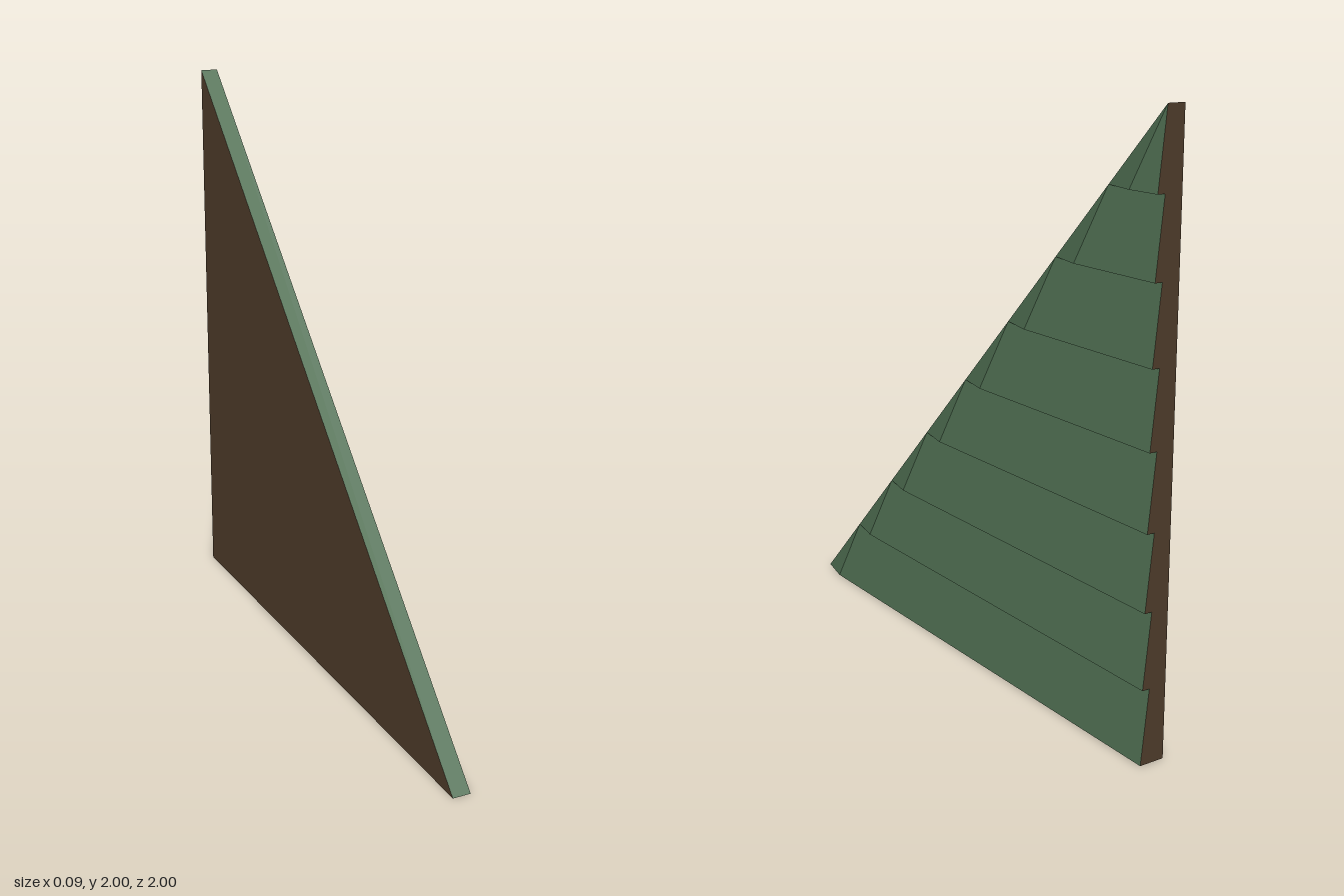
import * as THREE from 'three';

const green = new THREE.MeshStandardMaterial({ color: 0x4f6f52 });
green.name = 'green siding';
const brown = new THREE.MeshStandardMaterial({ color: 0x4d3a29 });
brown.name = 'brown wood';

// Flat mesh from convex polygons; an optional normal overrides the shading
function faces(name, material, polygons, normal) {
  const pos = [];
  for (const p of polygons) {
    for (let i = 1; i < p.length - 1; i++) pos.push(...p[0], ...p[i], ...p[i + 1]);
  }
  const g = new THREE.BufferGeometry();
  g.setAttribute('position', new THREE.Float32BufferAttribute(pos, 3));
  g.computeVertexNormals();
  if (normal) {
    const n = g.attributes.normal;
    for (let i = 0; i < n.count; i++) n.setXYZ(i, normal.x, normal.y, normal.z);
  }
  const mesh = new THREE.Mesh(g, material);
  mesh.name = name;
  return mesh;
}

export function createModel() {
  const group = new THREE.Group();
  group.name = 'triangularSidingWall';

  const B = -0.045;  // inner face
  const T = 0.018;   // thin upper edge of a board
  const E = 0.045;   // thick lower edge of a board
  const COUNT = 8, H = 2 / COUNT, BEVEL = 0.125;

  // Overlapping boards, each cut off along the slope
  const boards = [], bevels = [], ledges = [], ends = [];
  for (let i = 0; i < COUNT; i++) {
    const y0 = i * H, y1 = y0 + H;
    const zLow = 1 - y0, zCut = zLow - BEVEL, zTop = 1 - y1;
    boards.push([[E, y0, zCut], [E, y0, -1], [T, y1, -1], [T, y1, zTop]]);
    bevels.push([[T, y0, zLow], [E, y0, zCut], [T, y1, zTop]]);
    ledges.push([[T, y0, -1], [E, y0, -1], [E, y0, zCut], [T, y0, zLow]]);
    ends.push([[E, y0, -1], [B, y0, -1], [B, y1, -1], [T, y1, -1]]);
  }

  const slopeNormal = new THREE.Vector3(0, 1, 1).normalize();
  group.add(
    faces('sidingBoards', green, boards),
    faces('boardBevels', green, bevels, slopeNormal),
    faces('slopedEdge', green, [[[B, 0, 1], [T, 0, 1], [T, 2, -1], [B, 2, -1]]]),
    faces('boardUndersides', brown, ledges),
    faces('backEdge', brown, ends),
    faces('innerFace', brown, [[[B, 0, -1], [B, 0, 1], [B, 2, -1]]]),
    faces('bottomEdge', brown, [[[B, 0, -1], [T, 0, -1], [T, 0, 1], [B, 0, 1]]]),
  );
  return group;
}
